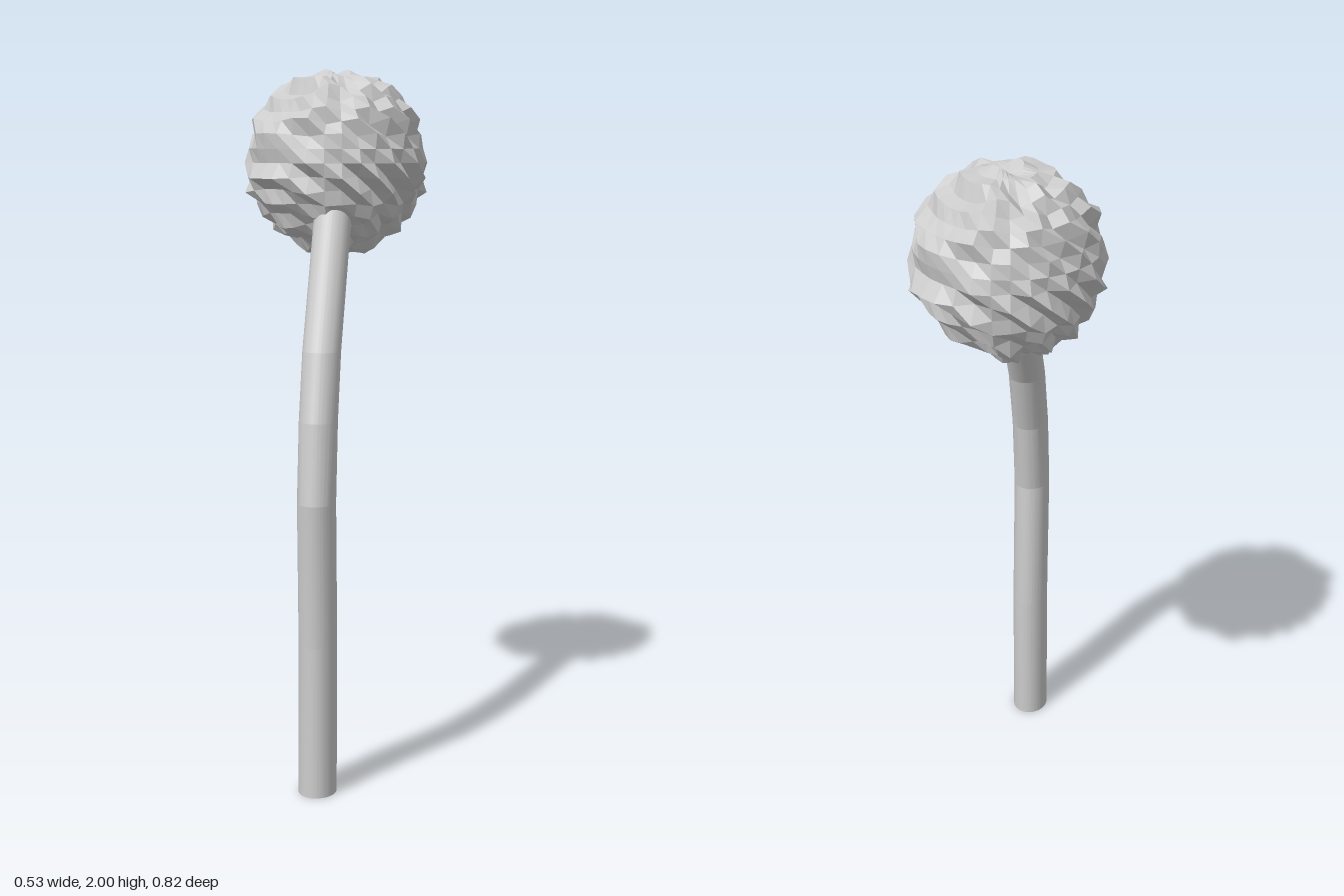
import * as THREE from 'three';
import { toCreasedNormals } from 'three/addons/utils/BufferGeometryUtils.js';

// Bent stalk: horizontal oval rings stacked along a kinked centre line
function createStalk() {
  const path = [[0, 0.327], [0.42, 0.317], [0.82, 0.341], [1.04, 0.305], [1.225, 0.239], [1.66, -0.032]]; // y, z
  const last = path.length - 1;
  const geo = new THREE.CylinderGeometry(1, 1, last, 64, last);
  const pos = geo.attributes.position;
  for (let i = 0; i < pos.count; i++) {
    const [y, z] = path[Math.round(pos.getY(i) + last / 2)];
    pos.setXYZ(i, 0.012 + pos.getX(i) * 0.053, y, z + pos.getZ(i) * 0.069);
  }
  // round sides, visible creases at the bends
  const mesh = new THREE.Mesh(toCreasedNormals(geo, 0.14), new THREE.MeshStandardMaterial({ color: 0xcccccc }));
  mesh.name = 'stalk';
  return mesh;
}

// Rough ball: waves that break into spikes on two opposite sides
// and settle into level ridges on the other two
function createHead() {
  const geo = new THREE.SphereGeometry(1, 32, 20);
  const pos = geo.attributes.position;
  const n = new THREE.Vector3();
  for (let i = 0; i < pos.count; i++) {
    n.fromBufferAttribute(pos, i).normalize();
    const across = (n.x - n.z) * Math.SQRT1_2;
    const ripple = Math.sin(16 * n.y + 0.6) * Math.cos(16 * across);
    n.multiplyScalar(0.256 + 0.024 * ripple);
    pos.setXYZ(i, n.x, n.y, n.z);
  }
  const mesh = new THREE.Mesh(geo, new THREE.MeshStandardMaterial({ color: 0xcccccc, flatShading: true }));
  mesh.name = 'head';
  mesh.position.set(0, 1.732, -0.146);
  return mesh;
}

export function createModel() {
  const model = new THREE.Group();
  model.name = 'ballOnStalk';
  model.add(createStalk(), createHead());
  return model;
}
